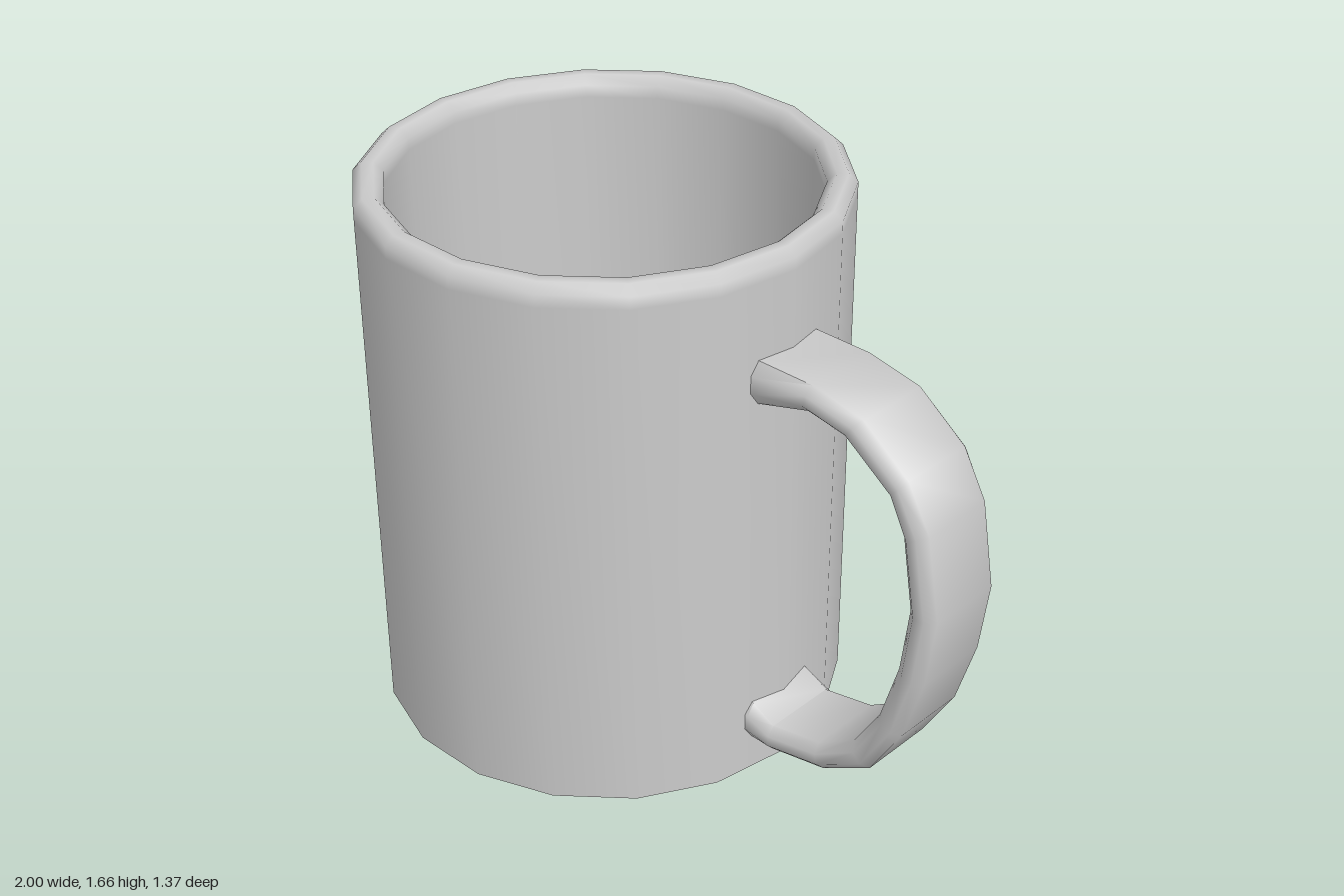
import * as THREE from 'three';
import { toCreasedNormals } from 'three/addons/utils/BufferGeometryUtils.js';

const material = new THREE.MeshStandardMaterial({ color: 0xcccccc });

function addMesh(group, name, geometry) {
  const mesh = new THREE.Mesh(geometry, material);
  mesh.name = name;
  group.add(mesh);
  return mesh;
}

// 18-sided cup: closed base, bevelled rim, hollow inside
function cupGeometry() {
  const profile = [
    [0, 0], [0.695, 0], [0.695, 1.6], [0.695, 1.637], [0.669, 1.662],
    [0.636, 1.662], [0.61, 1.637], [0.61, 1.6], [0.61, 0.085], [0, 0.085],
  ].map(([r, y]) => new THREE.Vector2(r, y));
  return toCreasedNormals(new THREE.LatheGeometry(profile, 18, Math.PI / 2), 0.9);
}

// Flat strap with chamfered corners, swept from the upper to the lower joint
function handleGeometry() {
  // outer x, y and inner x, y of each cross-section
  const sections = [
    [0.335, 1.37, 0.335, 1.23], [0.375, 1.37, 0.375, 1.24],
    [0.553, 1.37, 0.543, 1.289], [0.725, 1.337, 0.67, 1.267],
    [0.88, 1.22, 0.826, 1.155], [0.955, 1.085, 0.875, 1.05],
    [0.998, 0.835, 0.91, 0.835], [0.97, 0.62, 0.885, 0.632],
    [0.908, 0.415, 0.83, 0.447], [0.805, 0.243, 0.745, 0.308],
    [0.64, 0.148, 0.62, 0.229], [0.455, 0.113, 0.453, 0.196],
    [0.375, 0.113, 0.375, 0.236], [0.335, 0.113, 0.335, 0.256],
  ];
  // corners of the section: share of the way from outer to inner, and z
  const ring = [
    [0, -0.115], [0, 0.115], [0.3, 0.14], [0.7, 0.14],
    [1, 0.115], [1, -0.115], [0.7, -0.14], [0.3, -0.14],
  ];
  const n = ring.length;
  const positions = [];
  const index = [];
  sections.forEach(([ox, oy, ix, iy], s) => {
    ring.forEach(([t, z], k) => {
      positions.push(ox + (ix - ox) * t, oy + (iy - oy) * t, z);
      if (s === sections.length - 1) return;
      const a = s * n + k;
      const b = s * n + ((k + 1) % n);
      index.push(a, b, a + n, b, b + n, a + n);
    });
  });
  const geometry = new THREE.BufferGeometry();
  geometry.setAttribute('position', new THREE.Float32BufferAttribute(positions, 3));
  geometry.setIndex(index);
  return toCreasedNormals(geometry, 0.95);
}

export function createModel() {
  const mug = new THREE.Group();
  mug.name = 'mug';
  addMesh(mug, 'cup', cupGeometry()).position.x = -0.305;
  addMesh(mug, 'handle', handleGeometry());
  return mug;
}
